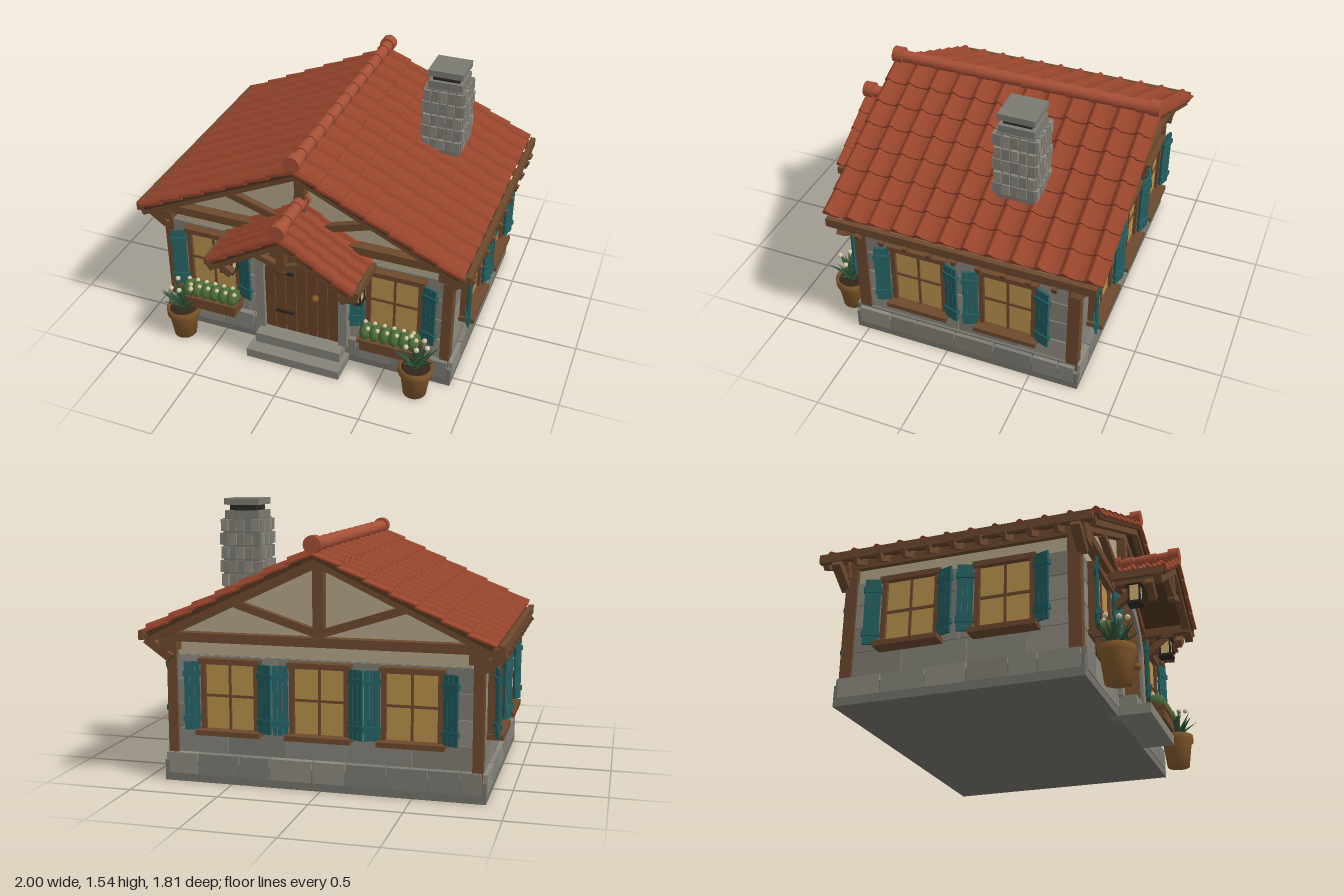
import * as THREE from 'three';

const C = { roof: 0x98452c, ridge: 0xa64f36, wood: 0x6d492e, darkWood: 0x523520, door: 0x6a4226, plaster: 0xb3a68a, stone: 0x85837a,
  mortar: 0x8f8877, base: 0x74736c, teal: 0x245f61, glass: 0xb8924c, pot: 0x83592b, leaf: 0x2f5136, hedge: 0x4a6b38, flower: 0xd8c8a4,
  iron: 0x2c2824, chimney: 0x7b7a72, soil: 0x33251a, lamp: 0xd0b070 };
const mats = {};
const mat = (color) => (mats[color] ??= new THREE.MeshStandardMaterial({ color, roughness: 0.9 }));
let seed = 7;
const rnd = () => (seed = (seed * 16807) % 2147483647) / 2147483647;
const shades = [0x85837a, 0x7c7b74, 0x8d8a80, 0x807d72];

function add(parent, name, geo, color, x = 0, y = 0, z = 0) {
  const m = new THREE.Mesh(geo, mat(color));
  m.name = name;
  m.position.set(x, y, z);
  parent.add(m);
  return m;
}
const box = (p, name, w, h, d, x, y, z, color) => add(p, name, new THREE.BoxGeometry(w, h, d), color, x, y, z);

function group(parent, name, x = 0, y = 0, z = 0, ry = 0) {
  const g = new THREE.Group();
  g.name = name;
  g.position.set(x, y, z);
  g.rotation.y = ry;
  parent.add(g);
  return g;
}

// straight timber between two points
function beam(p, name, a, b, w, h, color = C.wood) {
  const A = new THREE.Vector3(...a), B = new THREE.Vector3(...b);
  const m = box(p, name, w, h, A.distanceTo(B), 0, 0, 0, color);
  m.position.copy(A).add(B).multiplyScalar(0.5);
  m.quaternion.setFromRotationMatrix(new THREE.Matrix4().lookAt(B, A, new THREE.Vector3(0, 1, 0)));
}

// tile row cross-section: shallow pans between narrow round rolls, counted from the front edge
function tileProfile(W, pitch, side) {
  const s = new THREE.Shape(), n = Math.round(W / pitch) * 16, roll = 0.19;
  s.moveTo(side * (W / 2), -0.012);
  s.lineTo(side * (-W / 2), -0.012);
  for (let i = 0; i <= n; i++) {
    const t = (W * i) / n, f = (t / pitch) % 1;
    const v = f < 2 * roll ? 0.004 + 0.022 * Math.sin((Math.PI * f) / (2 * roll)) : 0.004 - 0.007 * Math.sin((Math.PI * (f - 2 * roll)) / (1 - 2 * roll));
    s.lineTo(side * (t - W / 2), v);
  }
  return s;
}

// gable roof: overlapping rows of tiles on both slopes plus a capped ridge
function gableRoof(parent, name, { y, angle, length, rows, z0, z1, pitch }) {
  const g = group(parent, name, 0, y, (z0 + z1) / 2);
  const W = z1 - z0, step = length / rows;
  for (const side of [1, -1]) {
    const slope = group(g, 'roofSlope');
    const d = new THREE.Vector3(side * Math.cos(angle), -Math.sin(angle), 0);
    const nrm = new THREE.Vector3(side * Math.sin(angle), Math.cos(angle), 0);
    slope.quaternion.setFromRotationMatrix(new THREE.Matrix4().makeBasis(nrm.clone().cross(d), nrm, d));
    box(slope, 'roofDeck', W - 0.03, 0.025, length - 0.01, 0, -0.016, length / 2, C.darkWood);
    const tile = new THREE.ExtrudeGeometry(tileProfile(W, pitch, side), { depth: step * 1.05, bevelEnabled: false });
    for (let i = 0; i < rows; i++) add(slope, 'tileRow', tile, C.roof, 0, 0, i * step).rotation.x = -0.085;
  }
  const count = Math.round(W / 0.135), L = W / count;
  for (let i = 0; i < count; i++) {
    const m = add(g, 'ridgeTile', new THREE.CylinderGeometry(0.04, 0.033, L, 16), C.ridge, 0, 0.038, -W / 2 + L * (i + 0.5));
    m.rotation.x = Math.PI / 2;
  }
  for (const s of [1, -1]) {
    const c = add(g, 'ridgeCollar', new THREE.CylinderGeometry(0.047, 0.047, 0.06, 16), C.ridge, 0, 0.043, s * (W / 2 - 0.03));
    c.rotation.x = Math.PI / 2;
  }
}

// courses of blocks on a flat wall facing local +z
function stones(g, name, width, y0, y1, rows, size, depth) {
  const h = (y1 - y0) / rows;
  for (let r = 0; r < rows; r++) {
    let x = -width / 2;
    while (x < width / 2 - 0.01) {
      let w = size * (0.75 + 0.5 * rnd());
      if (width / 2 - x - w < size * 0.4) w = width / 2 - x;
      box(g, name, w - 0.008, h - 0.008, depth * 2, x + w / 2, y0 + h * (r + 0.5), 0, shades[Math.floor(rnd() * 4)]);
      x += w;
    }
  }
}

// window with cross bars and angled shutters, facing local +z
function windowUnit(parent, x, z, ry) {
  const g = group(parent, 'window', x, 0, z, ry);
  box(g, 'windowGlass', 0.29, 0.38, 0.02, 0, 0.495, 0.012, C.glass);
  for (const s of [1, -1]) {
    box(g, 'windowJamb', 0.028, 0.39, 0.05, s * 0.15, 0.495, 0.015, C.wood);
    const hinge = group(g, 'shutter', s * 0.165, 0.495, 0.047, -s * 0.33);
    for (let i = 0; i < 3; i++) box(hinge, 'shutterBoard', 0.026, 0.375, 0.014, s * (0.016 + i * 0.028), 0, 0, C.teal);
    for (const y of [-0.125, 0.125]) box(hinge, 'shutterBatten', 0.094, 0.03, 0.028, s * 0.045, y, 0, C.teal);
  }
  box(g, 'windowLintel', 0.345, 0.03, 0.07, 0, 0.685, 0.02, C.wood);
  box(g, 'windowSill', 0.36, 0.028, 0.1, 0, 0.298, 0.04, C.wood);
  box(g, 'windowBar', 0.014, 0.38, 0.03, 0, 0.495, 0.015, C.wood);
  box(g, 'windowBar', 0.29, 0.014, 0.03, 0, 0.495, 0.015, C.wood);
  return g;
}

function archShape(r, y0, spring) {
  const s = new THREE.Shape();
  s.moveTo(-r, y0);
  s.lineTo(r, y0);
  s.lineTo(r, spring);
  s.absarc(0, spring, r, 0, Math.PI, false);
  return s;
}

// gable frame: tie beam, king post, struts and rafters
function truss(parent, z) {
  const g = group(parent, 'gableFrame', 0, 0, z);
  const out = Math.sign(z) * 0.08;
  box(g, 'tieBeam', 1.8, 0.05, 0.06, 0, 0.812, 0, C.wood);
  box(g, 'kingPost', 0.06, 0.43, 0.05, 0, 1.045, 0, C.wood);
  for (const s of [1, -1]) {
    beam(g, 'rafter', [0, 1.235, 0], [s * 0.9, 0.81, 0], 0.05, 0.05);
    beam(g, 'strut', [s * 0.02, 0.86, 0], [s * 0.46, 1.0, 0], 0.04, 0.042);
    beam(g, 'bargeRafter', [0, 1.25, out], [s * 0.95, 0.801, out], 0.035, 0.05);
    beam(g, 'kneeBracket', [s * 0.84, 0.69, 0], [s * 0.98, 0.79, 0], 0.05, 0.045);
    box(g, 'postCap', 0.1, 0.06, 0.07, s * 0.845, 0.765, 0, C.wood);
  }
}

function pottedPlant(parent, x, z) {
  const g = group(parent, 'pottedPlant', x, 0, z);
  const prof = [[0, 0.005], [0.066, 0.005], [0.086, 0.15], [0.098, 0.155], [0.098, 0.195], [0.084, 0.195], [0.08, 0.18]].map((p) => new THREE.Vector2(...p));
  add(g, 'pot', new THREE.LatheGeometry(prof, 24), C.pot);
  add(g, 'soil', new THREE.CylinderGeometry(0.082, 0.082, 0.01, 20), C.soil, 0, 0.18, 0);
  for (let i = 0; i < 26; i++) {
    const leaf = new THREE.ConeGeometry(0.026, 0.15 + 0.04 * rnd(), 5).translate(0, 0.08, 0).scale(1, 1, 0.35);
    const m = add(g, 'leaf', leaf, C.leaf, 0, 0.195, 0);
    m.rotation.set(0.2 + 0.36 * (i % 3), i * 2.4, 0, 'YXZ');
  }
  for (let i = 0; i < 5; i++) add(g, 'blossom', new THREE.IcosahedronGeometry(0.015, 1), C.flower, 0.06 * Math.cos(i * 1.3), 0.34 + 0.02 * (i % 2), 0.06 * Math.sin(i * 1.3));
}

export function createModel() {
  const root = new THREE.Group();
  root.name = 'cottage';
  const zc = -0.105;

  // foundation and walls
  box(root, 'foundation', 1.78, 0.115, 1.35, 0, 0.0575, zc, C.base);
  box(root, 'plinth', 1.74, 0.16, 1.31, 0, 0.08, zc, C.base);
  box(root, 'stoneCore', 1.7, 0.56, 1.28, 0, 0.43, zc, C.mortar);
  const gable = new THREE.Shape([[-0.845, 0.2], [0.845, 0.2], [0.845, 0.85], [0, 1.25], [-0.845, 0.85]].map((p) => new THREE.Vector2(...p)));
  add(root, 'plasterWalls', new THREE.ExtrudeGeometry(gable, { depth: 1.27, bevelEnabled: false }), C.plaster, 0, 0, zc - 0.635);
  for (const s of [1, -1]) {
    const ry = s > 0 ? 0 : Math.PI;
    stones(group(root, 'stoneWall', 0, 0, zc + s * 0.638, ry), 'wallStone', 1.69, 0.16, 0.71, 4, 0.3, 0.01);
    stones(group(root, 'plinthStones', 0, 0, zc + s * 0.658, ry), 'plinthStone', 1.74, 0.04, 0.165, 1, 0.2, 0.021);
    stones(group(root, 'stoneWall', s * 0.848, 0, zc, s * Math.PI / 2), 'wallStone', 1.27, 0.16, 0.71, 4, 0.3, 0.01);
    stones(group(root, 'plinthStones', s * 0.873, 0, zc, s * Math.PI / 2), 'plinthStone', 1.31, 0.04, 0.155, 1, 0.2, 0.02);
    for (const z of [0.517, -0.735]) box(root, 'cornerPost', 0.055, 0.7, 0.068, s * 0.842, 0.45, z, C.wood);
    box(root, 'wallPlate', 0.05, 0.05, 1.3, s * 0.85, 0.815, zc, C.wood);
    // eaves
    box(root, 'eaveBoard', 0.03, 0.05, 1.53, s * 0.968, 0.825, -0.115, C.wood);
    for (let i = 0; i < 9; i++) beam(root, 'rafterTail', [s * 0.8, 0.865, 0.46 - i * 0.14], [s * 0.99, 0.775, 0.46 - i * 0.14], 0.026, 0.045);
  }
  for (const z of [0.56, -0.775]) truss(root, z);
  gableRoof(root, 'mainRoof', { y: 1.29, angle: 0.442, length: 1.035, rows: 7, z0: -0.905, z1: 0.685, pitch: 0.1354 });

  // windows
  for (const s of [1, -1]) for (const z of [0.155, -0.37]) windowUnit(root, s * 0.857, z, s * Math.PI / 2);
  for (const x of [-0.5, 0, 0.5]) windowUnit(root, x, -0.753, Math.PI);
  for (const s of [1, -1]) {
    const w = windowUnit(root, s * 0.55, 0.543, 0);
    // flower box
    box(w, 'flowerBox', 0.33, 0.07, 0.11, 0, 0.24, 0.085, C.wood);
    box(w, 'flowerBoxRim', 0.36, 0.018, 0.13, 0, 0.275, 0.085, C.wood);
    box(w, 'flowerBoxSupport', 0.28, 0.025, 0.07, 0, 0.195, 0.06, C.darkWood);
    for (let i = 0; i < 6; i++) {
      const x = -0.14 + i * 0.056;
      add(w, 'hedge', new THREE.SphereGeometry(1, 12, 8).scale(0.037, 0.052, 0.058), C.hedge, x, 0.312, 0.09);
      for (const k of [0, 1]) add(w, 'blossom', new THREE.IcosahedronGeometry(0.013, 1), C.flower, x + (k ? 0.018 : -0.01), 0.362 - 0.012 * k, 0.075 + 0.04 * k);
    }
    pottedPlant(root, s * 0.72, 0.685);
  }

  // steps and arched door
  box(root, 'lowerStep', 0.57, 0.055, 0.23, 0, 0.0275, 0.635, C.stone);
  box(root, 'upperStep', 0.52, 0.065, 0.14, 0, 0.087, 0.6, C.stone);
  const surround = archShape(0.28, 0.115, 0.53);
  surround.holes.push(archShape(0.228, 0.12, 0.53));
  add(root, 'doorSurround', new THREE.ExtrudeGeometry(surround, { depth: 0.07, bevelEnabled: false, curveSegments: 20 }), C.stone, 0, 0, 0.53);
  const door = group(root, 'door', 0, 0, 0.54);
  add(door, 'doorBack', new THREE.ExtrudeGeometry(archShape(0.228, 0.12, 0.53), { depth: 0.025, bevelEnabled: false }), C.darkWood);
  for (let i = 0; i < 7; i++) {
    const a = -0.226 + i * 0.0646, b = a + 0.059, s = new THREE.Shape();
    s.moveTo(a, 0.125);
    s.lineTo(b, 0.125);
    for (let k = 4; k >= 0; k--) {
      const x = a + ((b - a) * k) / 4;
      s.lineTo(x, 0.53 + Math.sqrt(Math.max(0, 0.226 ** 2 - x * x)));
    }
    add(door, 'doorPlank', new THREE.ExtrudeGeometry(s, { depth: 0.042, bevelEnabled: false }), C.door);
  }
  for (const y of [0.26, 0.54]) box(door, 'doorHinge', 0.11, 0.018, 0.012, -0.105, y, 0.046, C.iron);
  add(door, 'doorKnob', new THREE.SphereGeometry(0.022, 14, 10), C.pot, 0.09, 0.42, 0.062);

  // porch
  const porch = group(root, 'porch');
  gableRoof(porch, 'porchRoof', { y: 1.0, angle: 0.541, length: 0.475, rows: 4, z0: 0.5, z1: 0.9, pitch: 0.084 });
  box(porch, 'porchKingPost', 0.052, 0.22, 0.04, 0, 0.87, 0.84, C.wood);
  for (const s of [1, -1]) {
    for (const z of [0.85, 0.58]) beam(porch, 'porchRafter', [0, 0.955, z], [s * 0.43, 0.697, z], 0.045, 0.05);
    beam(porch, 'porchStrut', [0, 0.785, 0.84], [s * 0.2, 0.86, 0.84], 0.035, 0.035);
    box(porch, 'porchEaveBoard', 0.025, 0.045, 0.29, s * 0.433, 0.74, 0.735, C.wood);
    box(porch, 'porchPlate', 0.05, 0.05, 0.33, s * 0.36, 0.735, 0.7, C.wood);
    beam(porch, 'porchBrace', [s * 0.36, 0.56, 0.55], [s * 0.36, 0.72, 0.76], 0.04, 0.04);
    beam(porch, 'porchBracket', [s * 0.41, 0.7, 0.8], [s * 0.32, 0.63, 0.8], 0.04, 0.045);
    // lantern
    const l = group(porch, 'lantern', s * 0.38, 0, 0.715);
    box(l, 'lanternGlass', 0.06, 0.1, 0.06, 0, 0.64, 0, C.lamp);
    box(l, 'lanternBase', 0.08, 0.014, 0.08, 0, 0.586, 0, C.iron);
    add(l, 'lanternCap', new THREE.ConeGeometry(0.065, 0.035, 4).rotateY(Math.PI / 4), C.iron, 0, 0.705, 0);
    for (const x of [-0.03, 0.03]) for (const z of [-0.03, 0.03]) box(l, 'lanternBar', 0.01, 0.1, 0.01, x, 0.64, z, C.iron);
  }

  // chimney
  const ch = group(root, 'chimney', 0.553, 0, -0.32);
  box(ch, 'chimneyCore', 0.215, 0.41, 0.215, 0, 1.225, 0, C.base);
  for (let r = 0; r < 5; r++) for (let k = 0; k < 4; k++) {
    const face = group(ch, 'chimneyFace', 0, 0, 0, k * Math.PI / 2);
    for (let i = 0; i < 5; i++) box(face, 'chimneyStone', 0.039, 0.066, 0.024, (i - 2) * 0.047, 1.083 + r * 0.077, (r + k) % 2 ? 0.108 : 0.114, shades[(i + r + k) % 4]);
  }
  box(ch, 'chimneyShoulder', 0.2, 0.045, 0.2, 0, 1.45, 0, C.chimney);
  box(ch, 'chimneyThroat', 0.155, 0.06, 0.155, 0, 1.48, 0, C.iron);
  box(ch, 'chimneyCap', 0.205, 0.036, 0.205, 0, 1.522, 0, C.chimney);
  return root;
}
